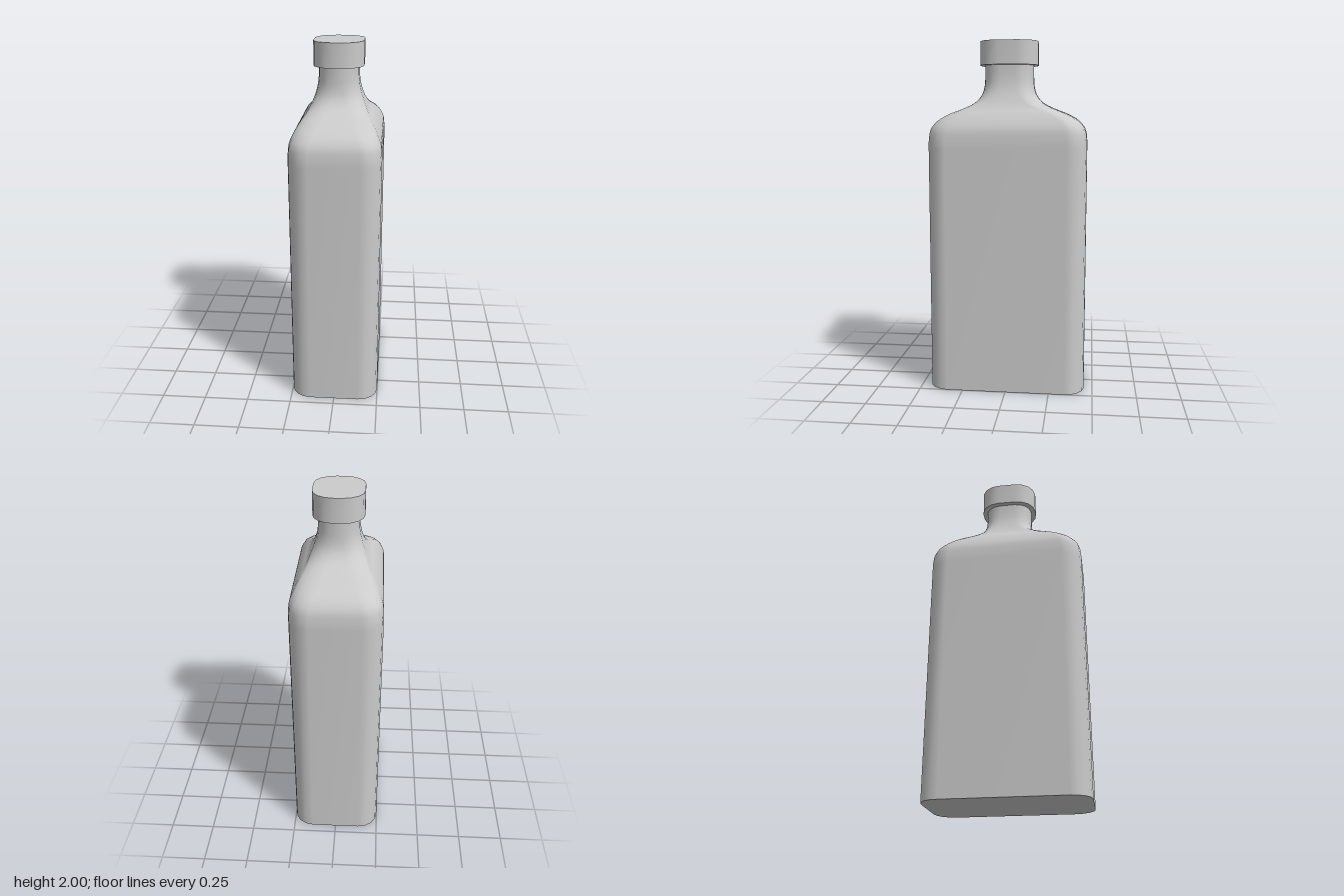
import * as THREE from 'three';

const CORNER_STEPS = 4;

// Rounded-rectangle outline in the xz plane, running from +x towards +z
function outline(halfX, halfZ, radius) {
  const r = Math.min(radius, halfX, halfZ);
  const points = [];
  for (let corner = 0; corner < 4; corner++) {
    const sx = corner === 0 || corner === 3 ? 1 : -1;
    const sz = corner < 2 ? 1 : -1;
    for (let i = 0; i <= CORNER_STEPS; i++) {
      const a = (corner + i / CORNER_STEPS) * Math.PI / 2;
      points.push([sx * (halfX - r) + r * Math.cos(a), sz * (halfZ - r) + r * Math.sin(a)]);
    }
  }
  return points;
}

// Smooth skin through sections { x, y, z, r }, closed by flat ends with sharp rims
function loft(sections) {
  const positions = [];
  const index = [];
  const count = 4 * (CORNER_STEPS + 1);
  const addRing = (s) => {
    const start = positions.length / 3;
    for (const [x, z] of outline(s.x, s.z, s.r)) positions.push(x, s.y, z);
    return start;
  };
  const starts = sections.map(addRing);
  for (let i = 0; i < starts.length - 1; i++) {
    for (let j = 0; j < count; j++) {
      const k = (j + 1) % count;
      const a = starts[i] + j, b = starts[i] + k;
      const c = starts[i + 1] + j, d = starts[i + 1] + k;
      index.push(a, c, b, b, c, d);
    }
  }
  for (const top of [false, true]) {
    const s = sections[top ? sections.length - 1 : 0];
    const start = addRing(s);
    const centre = positions.length / 3;
    positions.push(0, s.y, 0);
    for (let j = 0; j < count; j++) {
      const a = start + j, b = start + (j + 1) % count;
      if (top) index.push(centre, b, a);
      else index.push(centre, a, b);
    }
  }
  const geometry = new THREE.BufferGeometry();
  geometry.setAttribute('position', new THREE.Float32BufferAttribute(positions, 3));
  geometry.setIndex(index);
  geometry.computeVertexNormals();
  return geometry;
}

export function createModel() {
  const group = new THREE.Group();
  group.name = 'bottle';
  const material = new THREE.MeshStandardMaterial({ color: 0xcccccc });
  const add = (name, sections) => {
    const mesh = new THREE.Mesh(loft(sections), material);
    mesh.name = name;
    group.add(mesh);
  };

  // Shoulder and neck profile: half width, height, half depth
  const profile = new THREE.CatmullRomCurve3([
    [0.25, 1.43, 0.45],
    [0.243, 1.5, 0.44],
    [0.222, 1.55, 0.405],
    [0.195, 1.592, 0.335],
    [0.172, 1.62, 0.265],
    [0.152, 1.655, 0.195],
    [0.133, 1.7, 0.157],
    [0.118, 1.75, 0.143],
    [0.11, 1.81, 0.14],
    [0.108, 1.88, 0.14],
  ].map((p) => new THREE.Vector3(...p)));
  const shoulder = profile.getPoints(27).map(({ x, y, z }) => ({
    x, y, z, r: THREE.MathUtils.mapLinear(x, 0.108, 0.25, 0.095, 0.112),
  }));

  // Straight body continuing into the shoulder and neck
  add('body', [
    { x: 0.25, y: 0, z: 0.45, r: 0.112 },
    { x: 0.25, y: 1.4, z: 0.45, r: 0.112 },
    ...shoulder,
  ]);

  // Overhanging stopper cap
  add('cap', [1.866, 2].map((y) => ({ x: 0.138, y, z: 0.167, r: 0.116 })));

  return group;
}
